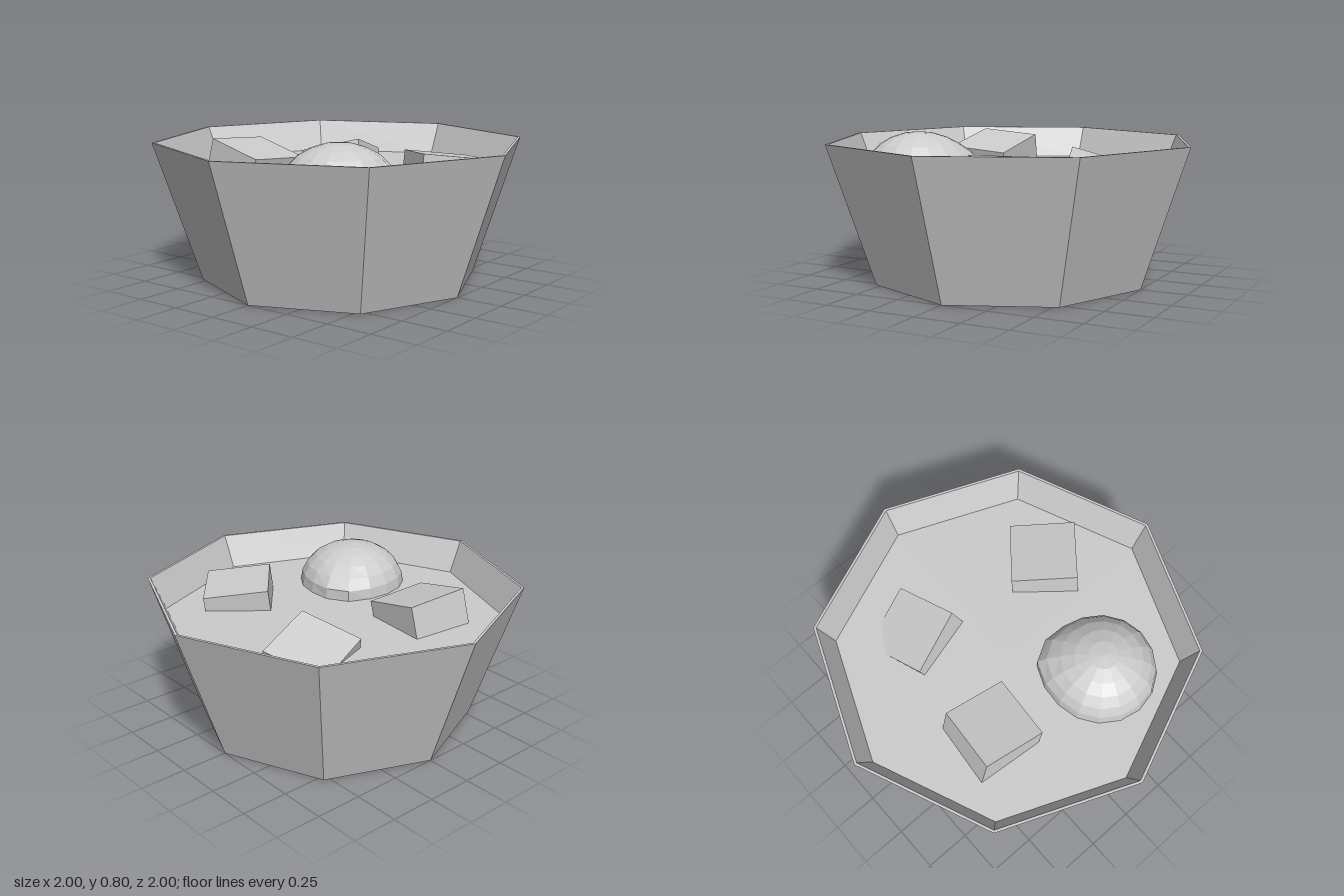
import * as THREE from 'three';

const BROTH_Y = 0.575;
const CHUNK = 0.35;
const material = new THREE.MeshStandardMaterial({ color: 0xcccccc, flatShading: true });

function part(name, geometry) {
  const mesh = new THREE.Mesh(geometry, material);
  mesh.name = name;
  return mesh;
}

// Tilted cube, placed by one top corner and the directions of its two top edges (u x v points up)
function chunk(name, corner, edgeU, edgeV) {
  const u = new THREE.Vector3(...edgeU).normalize();
  const n = u.clone().cross(new THREE.Vector3(...edgeV)).normalize();
  const v = n.clone().cross(u);
  const mesh = part(name, new THREE.BoxGeometry(CHUNK, CHUNK, CHUNK));
  mesh.quaternion.setFromRotationMatrix(new THREE.Matrix4().makeBasis(u, v, n));
  mesh.position.set(...corner)
    .addScaledVector(u, CHUNK / 2)
    .addScaledVector(v, CHUNK / 2)
    .addScaledVector(n, -CHUNK / 2);
  return mesh;
}

// Squashed sphere with a soft bulge on one side
function dumplingGeometry() {
  const geometry = new THREE.SphereGeometry(1, 16, 12);
  const pos = geometry.attributes.position;
  const bulge = new THREE.Vector3(0.75, 0.25, -0.6).normalize();
  const p = new THREE.Vector3();
  for (let i = 0; i < pos.count; i++) {
    p.fromBufferAttribute(pos, i);
    const angle = p.angleTo(bulge);
    const grow = 1 + 0.18 * Math.exp(-((angle / 0.5) ** 2));
    pos.setXYZ(i, p.x * 0.295 * grow, p.y * 0.225, p.z * 0.295 * grow);
  }
  geometry.computeVertexNormals();
  return geometry;
}

export function createModel() {
  const model = new THREE.Group();
  model.name = 'soupBowl';

  // Eight-sided bowl: base, outer wall, thin rim, inner wall
  const profile = [[0, 0], [0.75, 0], [1, 0.75], [0.985, 0.75], [0.91, BROTH_Y]]
    .map(([r, y]) => new THREE.Vector2(r, y));
  model.add(part('bowl', new THREE.LatheGeometry(profile, 8)));

  // Broth surface
  const broth = part('broth', new THREE.CircleGeometry(0.91, 8).rotateX(-Math.PI / 2));
  broth.position.y = BROTH_Y;
  model.add(broth);

  // Floating pieces
  const dumpling = part('dumpling', dumplingGeometry());
  dumpling.position.set(-0.4, BROTH_Y, 0.3);
  model.add(dumpling);

  model.add(
    chunk('backRightChunk', [0.31, 0.715, -0.11], [0.32, -0.09, -0.09], [-0.11, -0.08, -0.32]),
    chunk('backLeftChunk', [-0.44, 0.76, -0.52], [-0.036, -0.082, 0.344], [0.344, -0.022, 0.033]),
    chunk('frontChunk', [0.25, 0.69, 0.25], [-0.223, 0.024, 0.269], [0.27, -0.04, 0.23]),
  );
  return model;
}
